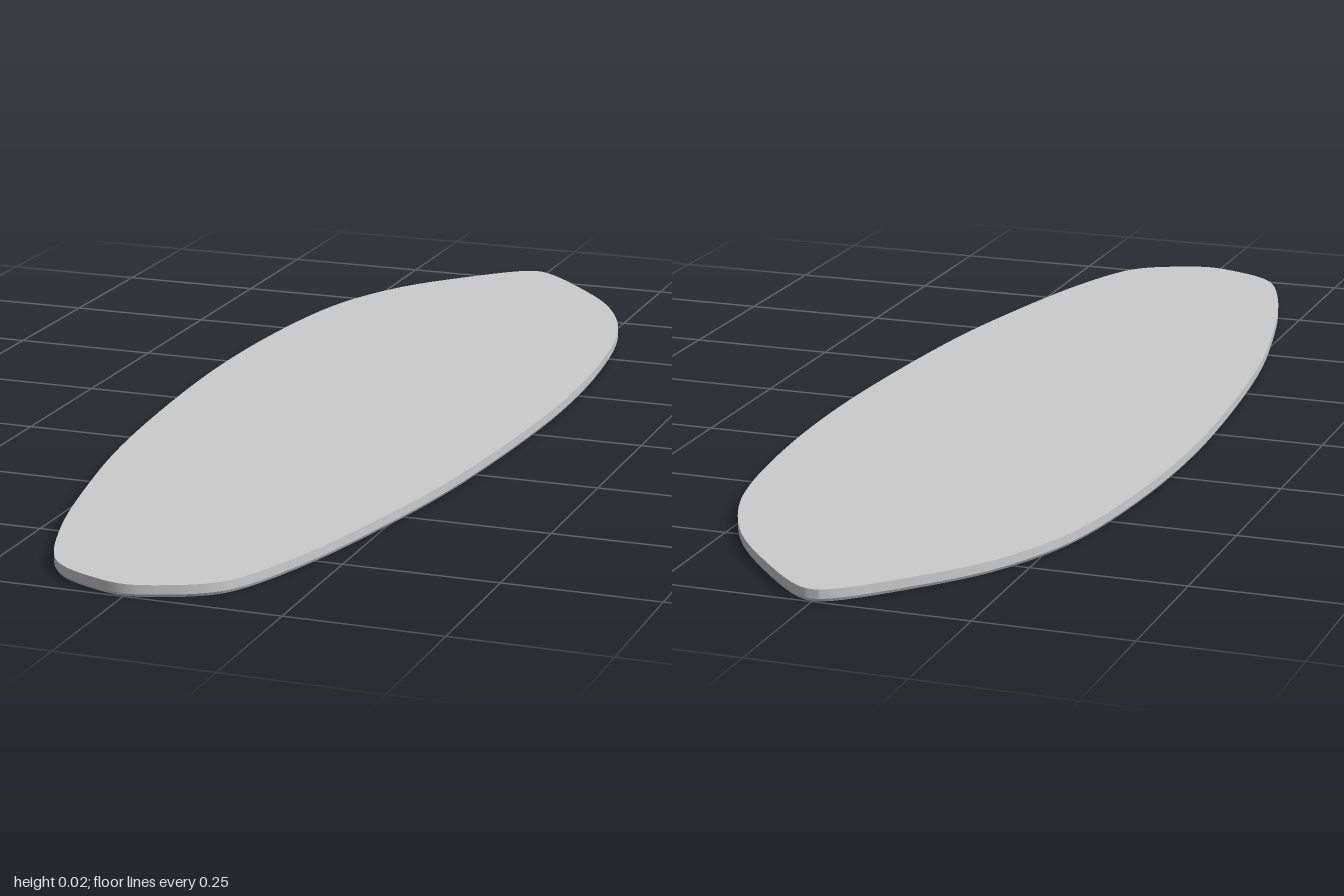
import * as THREE from 'three';
import { toCreasedNormals } from 'three/addons/utils/BufferGeometryUtils.js';

const THICKNESS = 0.0195;

// Right half of the plan outline as [x, z], from nose to tail
const HALF = [
  [0.03, -0.988], [0.12, -0.9], [0.2, -0.8], [0.258, -0.68], [0.287, -0.57],
  [0.311, -0.37], [0.319, -0.16], [0.312, 0.05], [0.286, 0.35], [0.253, 0.55],
  [0.2, 0.78], [0.147, 0.92], [0.116, 0.955], [0.063, 0.983],
];

function outlineShape() {
  const right = HALF.map(([x, z]) => new THREE.Vector3(x, -z, 0));
  const left = HALF.map(([x, z]) => new THREE.Vector3(-x, -z, 0)).reverse();
  const nose = new THREE.Vector3(0, 1, 0);
  const tail = new THREE.Vector3(0, -1, 0);
  const curve = new THREE.CatmullRomCurve3([nose, ...right, tail, ...left], true, 'centripetal');
  return new THREE.Shape(curve.getPoints(180).map((p) => new THREE.Vector2(p.x, p.y)));
}

export function createModel() {
  const group = new THREE.Group();
  group.name = 'surfboard';

  // Flat slab laid on the ground, nose towards -z
  const slab = new THREE.ExtrudeGeometry(outlineShape(), {
    depth: THICKNESS, steps: 4, bevelEnabled: false,
  });
  slab.rotateX(-Math.PI / 2);

  // Narrow chamfer: draw the lowest ring slightly inwards
  const pos = slab.attributes.position;
  for (let i = 0; i < pos.count; i++) {
    if (pos.getY(i) < 0.001) {
      pos.setX(i, pos.getX(i) * 0.99);
      pos.setZ(i, pos.getZ(i) * 0.997);
    }
  }

  const board = new THREE.Mesh(
    toCreasedNormals(slab, Math.PI / 7),
    new THREE.MeshStandardMaterial({ color: 0xcccccc }),
  );
  board.name = 'board';
  group.add(board);
  return group;
}
